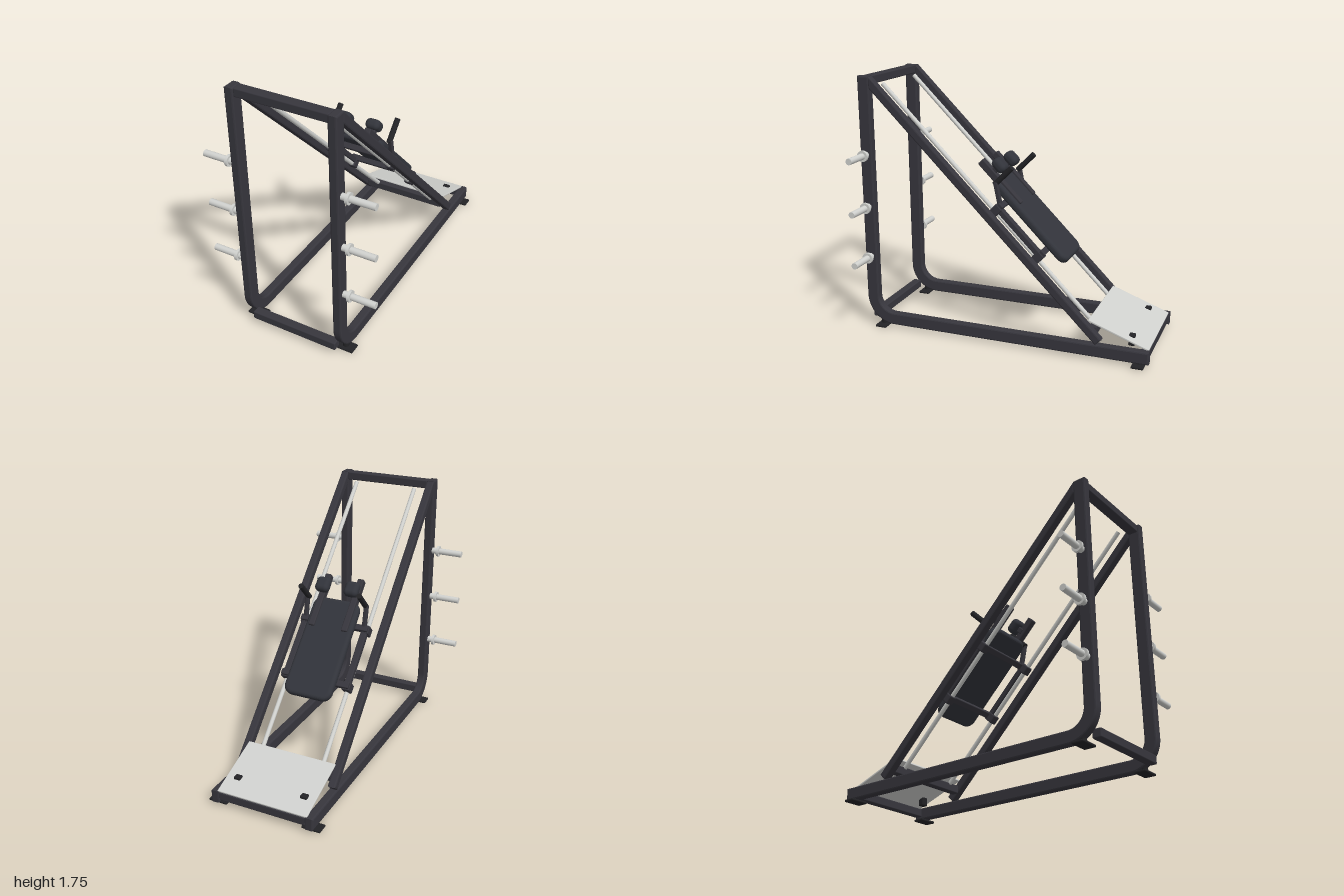
import * as THREE from 'three';
import { RoundedBoxGeometry } from 'three/addons/geometries/RoundedBoxGeometry.js';

const mat = (name, color) => Object.assign(new THREE.MeshStandardMaterial({ color }), { name });

export function createModel() {
  const frame = mat('frame charcoal', 0x37363d);
  const vinyl = mat('pad vinyl', 0x32343b);
  const rubber = mat('rubber black', 0x232326);
  const steel = mat('bright steel', 0xd0d1ce);

  const model = new THREE.Group();
  model.name = 'slidingSquatMachine';
  const SIDES = [-1, 1];
  const SLOPE = Math.PI / 4;

  // position is [x, y, z], tilt turns the part about x
  function add(name, geo, material, [x, y, z], tilt = 0, parent = model) {
    const m = new THREE.Mesh(geo, material);
    m.name = name;
    m.position.set(x, y, z);
    m.rotation.x = tilt;
    parent.add(m);
    return m;
  }
  const rbox = (w, h, d, r = 0.008, seg = 2) => new RoundedBoxGeometry(w, h, d, seg, r);
  // cylinder lying along x
  const xCyl = (r, len) => new THREE.CylinderGeometry(r, r, len, 24).rotateZ(Math.PI / 2);

  // side plate of a tube: profile in (z, y), given a width along x
  function sideProfile(shape, width) {
    const b = 0.01;
    return new THREE.ExtrudeGeometry(shape, {
      depth: width - 2 * b, bevelThickness: b, bevelSize: b, bevelOffset: -b, bevelSegments: 2, curveSegments: 16,
    }).translate(0, 0, b - width / 2).rotateY(-Math.PI / 2);
  }

  // bent tube: upright and floor rail in one piece
  const bent = new THREE.Shape();
  bent.moveTo(1, 1.75);
  bent.lineTo(0.915, 1.75);
  bent.lineTo(0.915, 0.22);
  bent.absarc(0.8, 0.22, 0.115, 0, -Math.PI / 2, true);
  bent.lineTo(-1, 0.105);
  bent.lineTo(-1, 0.02);
  bent.lineTo(0.8, 0.02);
  bent.absarc(0.8, 0.22, 0.2, -Math.PI / 2, 0, false);
  bent.closePath();

  // sloping tube, cut upright where it meets the post
  const slope = new THREE.Shape();
  slope.moveTo(0.92, 1.75);
  slope.lineTo(0.92, 1.67);
  slope.lineTo(-0.648, 0.102);
  slope.lineTo(-0.69, 0.142);
  slope.lineTo(0.915, 1.747);
  slope.closePath();

  for (const s of SIDES) {
    add('bentSideTube', sideProfile(bent, 0.058), frame, [s * 0.335, 0, 0]);
    add('slopingTube', sideProfile(slope, 0.055), frame, [s * 0.335, 0, 0]);

    // floor plates
    for (const z of [0.89, -0.935]) {
      add('footPlate', rbox(0.13, 0.016, 0.08, 0.006), rubber, [s * 0.335, 0.008, z]);
      add('footStem', new THREE.CylinderGeometry(0.02, 0.02, 0.03, 16), rubber, [s * 0.335, 0.025, z]);
    }

    // weight pegs with collars
    for (const y of [0.51, 0.865, 1.225]) {
      add('weightPeg', xCyl(0.022, 0.225), steel, [s * 0.473, y, 0.957]);
      add('pegCollar', xCyl(0.038, 0.018), steel, [s * 0.409, y, 0.957]);
    }

    // guide rod
    add('guideRod', new THREE.CylinderGeometry(0.015, 0.015, 2.1, 20), steel, [s * 0.225, 0.945, 0.145], SLOPE);

    // stop post through the foot platform
    add('stopPost', rbox(0.05, 0.075, 0.042), rubber, [s * 0.24, 0.128, -0.865]);
  }

  // cross bars
  add('topCrossBar', rbox(0.62, 0.058, 0.07), frame, [0, 1.72, 0.953]);
  add('frontFloorBar', rbox(0.62, 0.058, 0.06), frame, [0, 0.067, 0.96]);
  add('backFloorBar', rbox(0.62, 0.058, 0.055), frame, [0, 0.067, -0.965]);
  add('platformBar', rbox(0.62, 0.058, 0.055), frame, [0, 0.178, -0.617]);

  // foot platform
  const drop = Math.atan2(0.145, 0.4);
  add('footPlatform', rbox(0.64, 0.014, 0.43, 0.004), steel, [0, 0.175, -0.79], -drop);

  // carriage: local y climbs the slope, local -z points away from it
  const carriage = new THREE.Group();
  carriage.name = 'carriage';
  carriage.rotation.x = SLOPE;
  carriage.position.set(0, 0.79, 0);
  model.add(carriage);
  const R = Math.SQRT1_2;
  // turns a height and depth in the model into carriage coordinates
  const at = (x, y, z) => [x, (y - 0.79 + z) * R, (z - y + 0.79) * R];
  const ride = (name, geo, material, p, tilt = 0) => add(name, geo, material, at(...p), tilt, carriage);

  ride('backPad', padGeometry(0.345, 0.715, 0.06, 0.065), vinyl, [0, 0.81, -0.13]);
  for (const [y, z] of [[0.922, 0.05], [0.632, -0.243]]) {
    ride('carriageBar', rbox(0.5, 0.042, 0.042, 0.006), frame, [0, y, z]);
    for (const s of SIDES) {
      ride('slideSleeve', rbox(0.055, 0.06, 0.075), frame, [s * 0.227, y - 0.025, z + 0.025]);
    }
  }
  for (const s of SIDES) {
    ride('carriageRail', rbox(0.045, 0.41, 0.04), frame, [s * 0.225, 0.762, -0.082]);
    ride('shoulderArm', rbox(0.045, 0.39, 0.052), frame, [s * 0.122, 1.055, 0.088]);
    ride('shoulderPad', rbox(0.1, 0.105, 0.07, 0.03, 5), vinyl, [s * 0.107, 1.17, 0.097]);
    ride('shoulderPost', rbox(0.04, 0.04, 0.06), frame, [s * 0.115, 1.135, 0.13]);
    // grip stands off the slope on a short strut
    const grip = new THREE.CylinderGeometry(0.019, 0.019, 0.17, 20).rotateX(Math.PI / 2);
    ride('handGrip', grip, rubber, [s * 0.214, 1.125, 0.033]);
    ride('gripStrut', rbox(0.03, 0.17, 0.03), frame, [s * 0.22, 1.0, 0.068], -SLOPE + 0.2);
  }
  return model;
}

// cushion with rounded outline and soft edges, centred on the origin
function padGeometry(w, h, t, r) {
  const x = w / 2, y = h / 2, q = Math.PI / 2, b = 0.024;
  const s = new THREE.Shape();
  s.absarc(x - r, y - r, r, 0, q);
  s.absarc(r - x, y - r, r, q, 2 * q);
  s.absarc(r - x, r - y, r, 2 * q, 3 * q);
  s.absarc(x - r, r - y, r, 3 * q, 4 * q);
  s.closePath();
  return new THREE.ExtrudeGeometry(s, {
    depth: t - 2 * b, bevelThickness: b, bevelSize: b, bevelOffset: -b, bevelSegments: 5, curveSegments: 8,
  }).translate(0, 0, b - t / 2);
}
